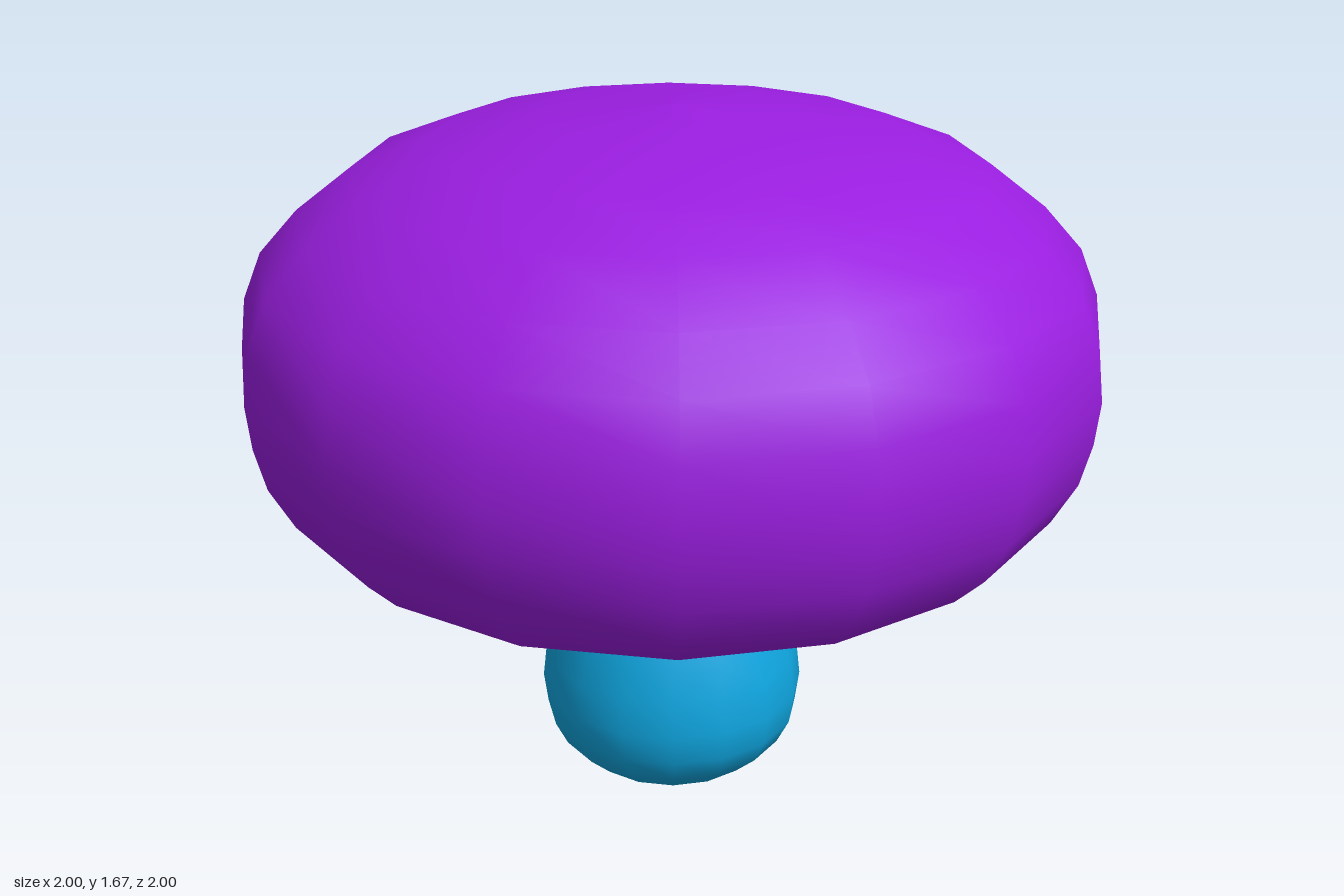
import * as THREE from 'three';

const SIDES = 16;

// Revolve a [radius, height] profile, listed from bottom centre to top
function turned(name, color, profile) {
  const points = profile.map(([r, y]) => new THREE.Vector2(r, y));
  const mesh = new THREE.Mesh(
    new THREE.LatheGeometry(points, SIDES),
    new THREE.MeshStandardMaterial({ color })
  );
  mesh.name = name;
  return mesh;
}

export function createModel() {
  const group = new THREE.Group();
  group.name = 'mushroom';

  // Pear-shaped stem, pinched at the neck and flaring into the cap
  group.add(turned('stem', 0x0fa6e0, [
    [0, 0.005], [0.135, 0.018], [0.22, 0.05], [0.28, 0.105], [0.31, 0.165],
    [0.32, 0.24], [0.31, 0.33], [0.285, 0.42], [0.24, 0.54], [0.178, 0.68],
    [0.156, 0.77], [0.165, 0.82], [0.195, 0.865], [0, 0.9],
  ]));

  // Domed cap: hollow underside, rolled lip, rounded side, then the crown
  group.add(turned('cap', 0x9a1ee0, [
    [0, 0.865], [0.18, 0.855], [0.32, 0.81], [0.44, 0.745], [0.54, 0.7],
    [0.64, 0.682], [0.7, 0.686], [0.77, 0.706], [0.84, 0.74], [0.91, 0.81],
    [0.965, 0.91], [0.99, 1.01], [1, 1.11], [0.985, 1.23], [0.94, 1.34],
    [0.85, 1.44], [0.72, 1.54], [0.54, 1.61], [0.3, 1.66], [0, 1.68],
  ]));

  return group;
}
